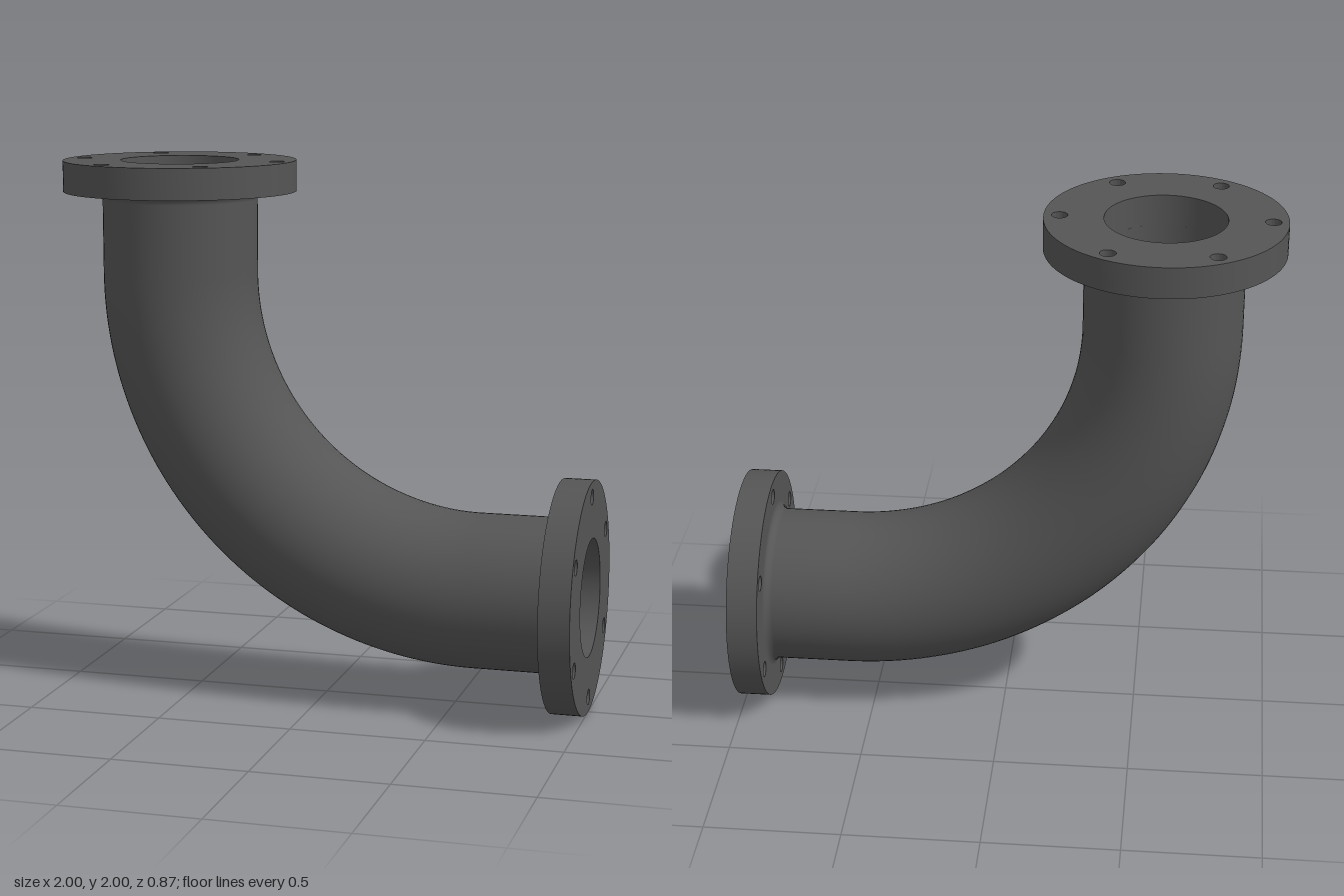
import * as THREE from 'three';
import { toCreasedNormals } from 'three/addons/utils/BufferGeometryUtils.js';

const SEG = 64;
const OUTER = 0.288, BORE = 0.219;         // pipe radii
const FLANGE_R = 0.433, FLANGE_T = 0.115;  // flange radius and thickness
const BOLT_CIRCLE = 0.376, BOLT_R = 0.029, BOLTS = 6;
const BEND_R = 1.152, STRAIGHT = 0.415, FILLET = 0.03;

const material = new THREE.MeshStandardMaterial({ color: 0x555555 });

function addMesh(parent, name, geometry) {
  const mesh = new THREE.Mesh(geometry, material);
  mesh.name = name;
  parent.add(mesh);
  return mesh;
}

// Circular plate with a bore and a ring of bolt holes, outer face at y = 0
function flangeGeometry() {
  const shape = new THREE.Shape().absarc(0, 0, FLANGE_R, 0, Math.PI * 2);
  const addHole = (x, y, r) =>
    shape.holes.push(new THREE.Path().absarc(x, y, r, 0, Math.PI * 2, true));
  addHole(0, 0, BORE);
  for (let i = 0; i < BOLTS; i++) {
    const a = (i / BOLTS) * Math.PI * 2;
    addHole(BOLT_CIRCLE * Math.cos(a), BOLT_CIRCLE * Math.sin(a), BOLT_R);
  }
  const geo = new THREE.ExtrudeGeometry(shape, {
    depth: FLANGE_T, bevelEnabled: false, curveSegments: SEG,
  });
  geo.translate(0, 0, -FLANGE_T).rotateX(-Math.PI / 2);
  return toCreasedNormals(geo, 0.6);
}

// Straight outer wall that flares into the flange with a small fillet
function neckGeometry() {
  const points = [new THREE.Vector2(OUTER, -STRAIGHT)];
  for (let i = 0; i <= 8; i++) {
    const a = (i / 8) * Math.PI / 2;
    points.push(new THREE.Vector2(
      OUTER + FILLET * (1 - Math.cos(a)),
      -FLANGE_T - FILLET * (1 - Math.sin(a))));
  }
  return new THREE.LatheGeometry(points, SEG);
}

// Straight inner wall, facing the axis
function boreGeometry() {
  return new THREE.LatheGeometry([
    new THREE.Vector2(BORE, -FLANGE_T),
    new THREE.Vector2(BORE, -STRAIGHT),
  ], SEG);
}

// Quarter bend; the inner wall is turned inside out
function bendGeometry(radius, inward) {
  const geo = new THREE.TorusGeometry(BEND_R, radius, SEG, SEG, Math.PI / 2);
  geo.rotateZ(Math.PI);
  if (inward) {
    geo.setIndex(Array.from(geo.index.array).reverse());
    const n = geo.attributes.normal;
    for (let i = 0; i < n.count; i++) n.setXYZ(i, -n.getX(i), -n.getY(i), -n.getZ(i));
  }
  return geo;
}

// Flanged end whose outer face points along local +y
function createEnd(name) {
  const end = new THREE.Group();
  end.name = name;
  addMesh(end, 'flange', flangeGeometry());
  addMesh(end, 'neck', neckGeometry());
  addMesh(end, 'bore', boreGeometry());
  return end;
}

export function createModel() {
  const model = new THREE.Group();
  model.name = 'flangedPipeElbow';

  const topEnd = createEnd('topEnd');
  topEnd.position.set(FLANGE_R - 1, 2, 0);
  const sideEnd = createEnd('sideEnd');
  sideEnd.position.set(1, FLANGE_R, 0);
  sideEnd.rotation.z = -Math.PI / 2;
  model.add(topEnd, sideEnd);

  const bend = new THREE.Group();
  bend.name = 'bend';
  bend.position.set(1 - STRAIGHT, 2 - STRAIGHT, 0);
  addMesh(bend, 'bendOuterWall', bendGeometry(OUTER, false));
  addMesh(bend, 'bendInnerWall', bendGeometry(BORE, true));
  model.add(bend);

  return model;
}
